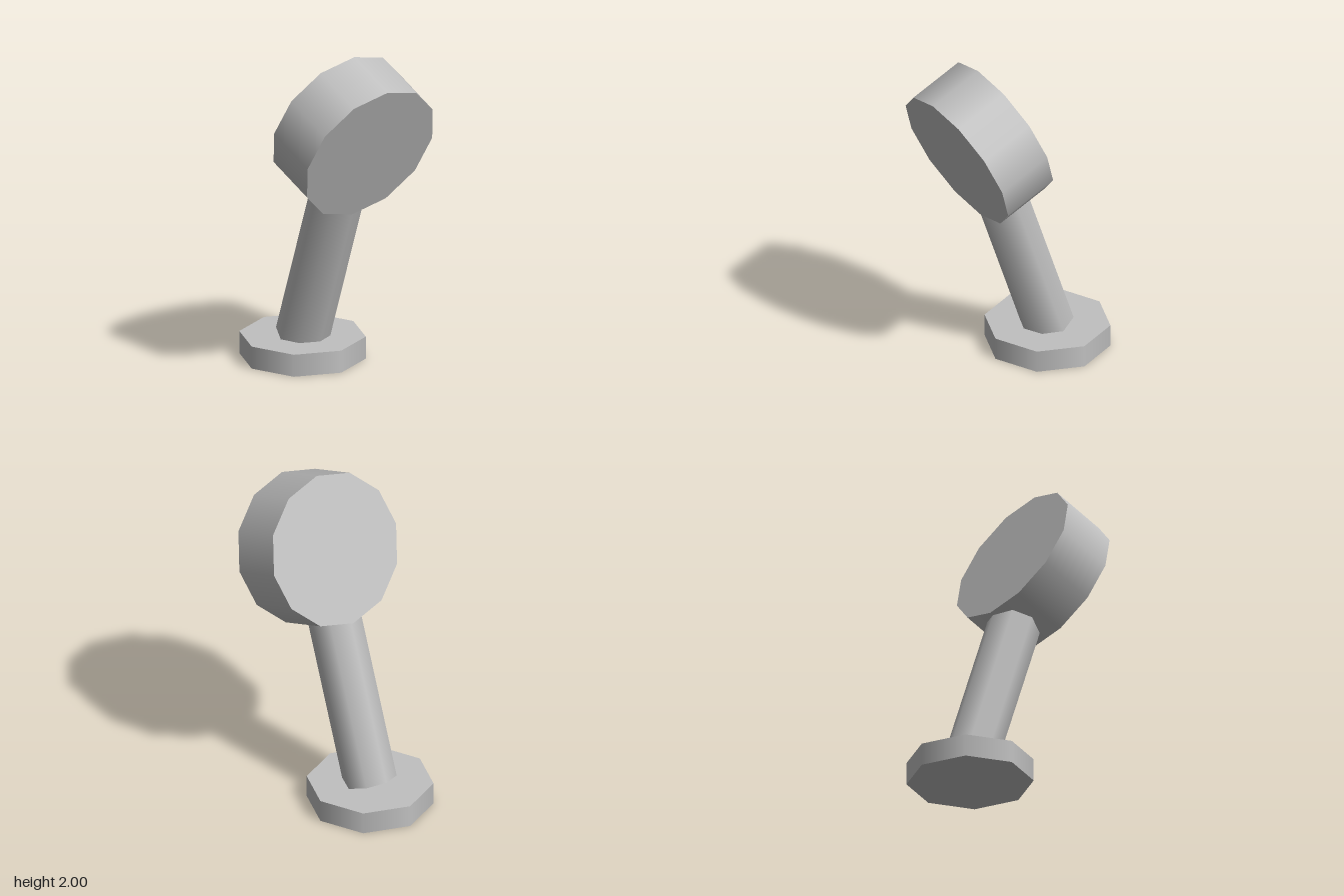
import * as THREE from 'three';

export function createModel() {
  const model = new THREE.Group();
  const grey = new THREE.MeshStandardMaterial({ color: 0xc0c0c0 });
  grey.name = 'light grey';

  // Adds a smooth-sided drum centred at (0, y, z), leaning forward by tilt degrees
  const addDrum = (name, radius, length, sides, y, z, tilt = 0) => {
    const mesh = new THREE.Mesh(new THREE.CylinderGeometry(radius, radius, length, sides), grey);
    mesh.name = name;
    mesh.position.set(0, y, z);
    mesh.rotation.x = THREE.MathUtils.degToRad(tilt);
    model.add(mesh);
  };

  // Octagonal foot
  const footHeight = 0.137, footZ = -0.225;
  addDrum('base', 0.375, footHeight, 8, footHeight / 2, footZ);

  // Leaning post, rising from the middle of the foot into the head
  const lean = 19.2, postLength = 1.2;
  const a = THREE.MathUtils.degToRad(lean);
  addDrum('post', 0.161, postLength, 8,
    footHeight + Math.cos(a) * postLength / 2,
    footZ + Math.sin(a) * postLength / 2, lean);

  // Twelve-sided head, facing forward and slightly down
  addDrum('head', 0.46, 0.35, 12, 1.508, 0.266, 112);

  return model;
}
